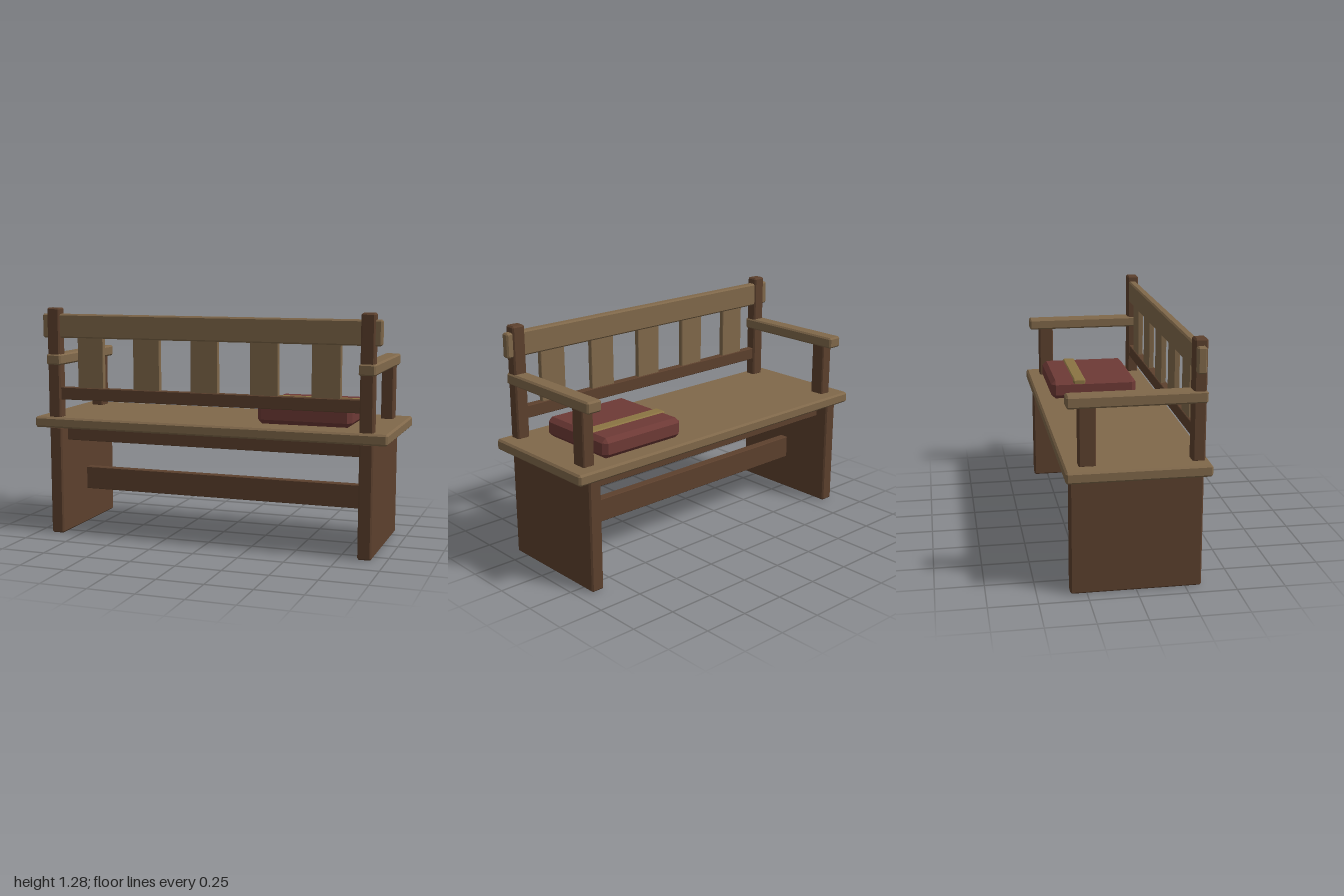
import * as THREE from 'three';
import { ConvexGeometry } from 'three/addons/geometries/ConvexGeometry.js';

// Box with flat chamfers on every edge, given by its min and max corners
function chamferBox(min, max, c) {
  const half = min.map((v, i) => (max[i] - v) / 2);
  const points = [];
  for (const sx of [-1, 1]) for (const sy of [-1, 1]) for (const sz of [-1, 1]) {
    const s = [sx, sy, sz];
    for (let axis = 0; axis < 3; axis++) {
      points.push(new THREE.Vector3(...s.map((sign, i) => sign * (half[i] - (i === axis ? 0 : c)))));
    }
  }
  const geometry = new ConvexGeometry(points);
  geometry.translate(...min.map((v, i) => (v + max[i]) / 2));
  return geometry;
}

export function createModel() {
  const group = new THREE.Group();
  const material = (name, color) => {
    const m = new THREE.MeshStandardMaterial({ color });
    m.name = name;
    return m;
  };
  const lightWood = material('lightWood', 0x80684a);
  const darkWood = material('darkWood', 0x5c402d);
  const redCloth = material('redCloth', 0x6e3a36);
  const goldCloth = material('goldCloth', 0x8b7443);

  const add = (name, mat, min, max, chamfer = 0.006) => {
    const mesh = new THREE.Mesh(chamferBox(min, max, chamfer), mat);
    mesh.name = name;
    group.add(mesh);
  };

  // Seat board
  add('seat', lightWood, [-1, 0.607, -0.36], [1, 0.667, 0.36], 0.01);

  // Ends: panel leg, back post, arm support and armrest
  for (const side of [-1, 1]) {
    const x = side * 0.885;
    const label = side > 0 ? 'left' : 'right';
    add(label + 'PanelLeg', darkWood, [x - 0.037, 0, -0.333], [x + 0.037, 0.61, 0.333], 0.008);
    add(label + 'BackPost', darkWood, [x - 0.037, 0.66, 0.273], [x + 0.037, 1.276, 0.338], 0.008);
    add(label + 'ArmSupport', darkWood, [x - 0.034, 0.662, -0.287], [x + 0.034, 0.965, -0.202]);
    add(label + 'Armrest', lightWood, [x - 0.044, 0.958, -0.345], [x + 0.044, 1.02, 0.345], 0.009);
  }

  // Under-seat aprons and central stretcher
  for (const z of [-0.235, 0.235]) {
    add('apron', darkWood, [-0.86, 0.527, z - 0.022], [0.86, 0.615, z + 0.022], 0.003);
  }
  add('stretcher', darkWood, [-0.86, 0.2, -0.025], [0.86, 0.33, 0.025], 0.003);

  // Backrest rails and slats
  add('topRail', lightWood, [-0.955, 1.11, 0.28], [0.955, 1.242, 0.327], 0.008);
  add('lowerRail', darkWood, [-0.86, 0.766, 0.284], [0.86, 0.835, 0.327], 0.003);
  for (let i = -2; i <= 2; i++) {
    const x = i * 0.334;
    add('backSlat', lightWood, [x - 0.077, 0.825, 0.29], [x + 0.077, 1.12, 0.32], 0.003);
  }

  // Cushion with a strap that shows past its chamfered edges
  add('cushion', redCloth, [0.262, 0.668, -0.28], [0.78, 0.777, 0.217], 0.024);
  add('cushionStrap', goldCloth, [0.264, 0.665, -0.153], [0.778, 0.783, -0.08], 0.008);

  return group;
}
